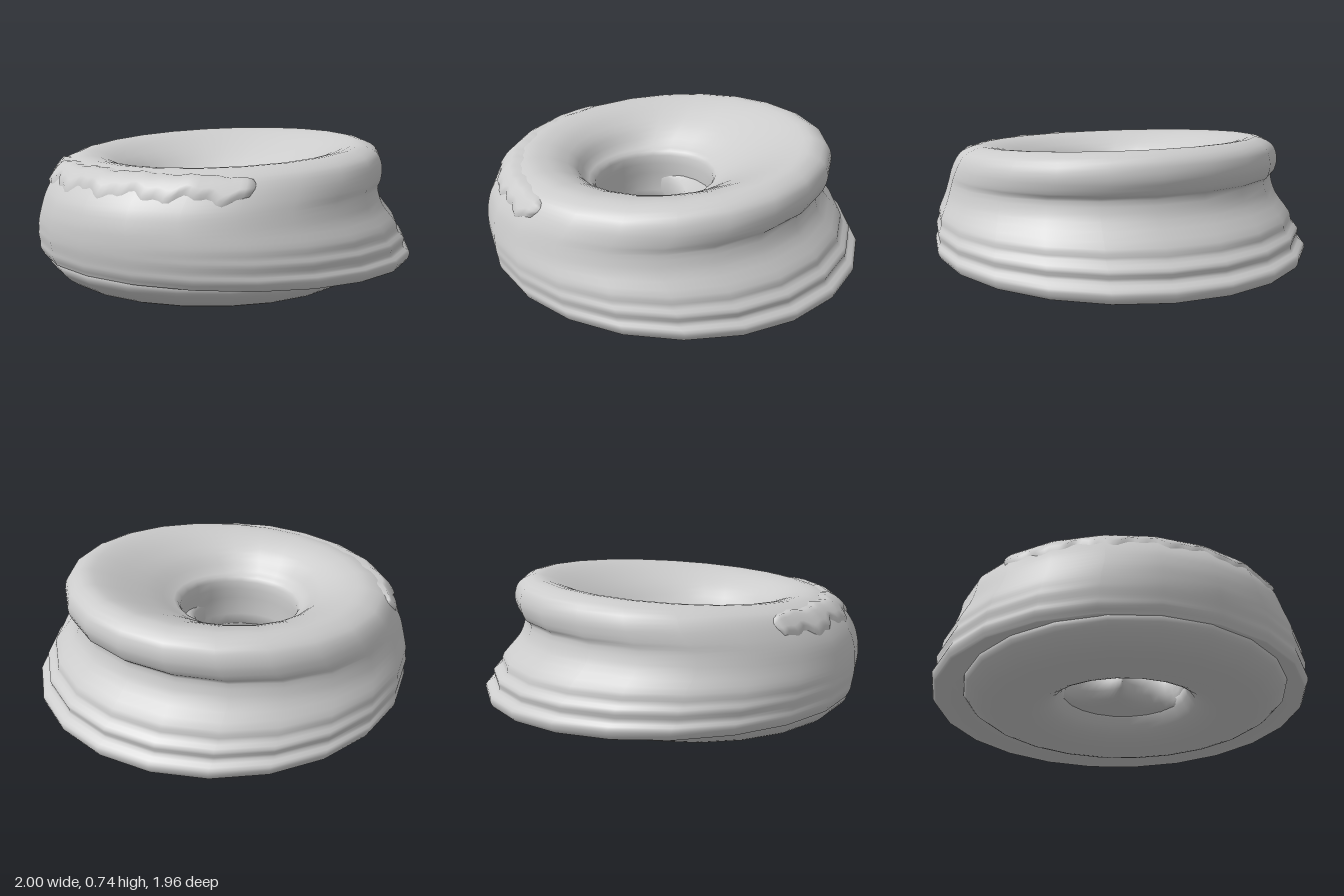
import * as THREE from 'three';

const SIDES = 22;
const material = new THREE.MeshStandardMaterial({ color: 0xcccccc, side: THREE.DoubleSide });

// Smooth grid surface from point(i, j); j wraps round when closed
function gridMesh(name, rows, cols, wrapRows, wrapCols, point) {
  const pos = [], index = [];
  for (let i = 0; i < rows; i++)
    for (let j = 0; j < cols; j++) pos.push(...point(i, j).toArray());
  for (let i = 0; i < (wrapRows ? rows : rows - 1); i++)
    for (let j = 0; j < (wrapCols ? cols : cols - 1); j++) {
      const i2 = (i + 1) % rows, j2 = (j + 1) % cols;
      const a = i * cols + j, b = i2 * cols + j, c = i2 * cols + j2, d = i * cols + j2;
      index.push(a, b, d, b, c, d);
    }
  const g = new THREE.BufferGeometry();
  g.setAttribute('position', new THREE.Float32BufferAttribute(pos, 3));
  g.setIndex(index);
  g.computeVertexNormals();
  const mesh = new THREE.Mesh(g, material);
  mesh.name = name;
  return mesh;
}

// Sampler for a ring whose profile changes from its -x side to its +x side.
// Each row is [left x, left y, right x, right y] of one tilted circle.
function ringSampler(rows) {
  const curve = (k) => new THREE.CatmullRomCurve3(
    rows.map((r) => new THREE.Vector3(r[k], r[k + 1], 0)), true, 'catmullrom', 0.45);
  const left = curve(0), right = curve(2);
  const corner = (t, j) => {
    const l = left.getPoint(t), r = right.getPoint(t);
    const a = (j / SIDES) * Math.PI * 2, c = Math.cos(a);
    const radius = (r.x - l.x) / 2;
    return new THREE.Vector3((l.x + r.x) / 2 + radius * c,
      (l.y + r.y) / 2 + ((r.y - l.y) / 2) * c, radius * Math.sin(a));
  };
  // straight between neighbouring corners
  return (t, j) => {
    const f = Math.floor(j);
    return corner(t, f).lerp(corner(t, f + 1), j - f);
  };
}

function ringMesh(name, rows, sample) {
  const n = rows.length * 3;
  return gridMesh(name, n, SIDES, true, true, (i, j) => sample(i / n, j));
}

export function createModel() {
  const group = new THREE.Group();

  // Main ring: stepped folds on one side, plain round wall on the other
  const bodyRows = [
    [-0.95, 0.155, 0.93, 0.09],
    [-0.97, 0.17, 0.985, 0.105],
    [-0.985, 0.2, 0.995, 0.155],
    [-0.99, 0.23, 0.945, 0.19],
    [-0.997, 0.27, 0.95, 0.235],
    [-1, 0.3, 0.905, 0.275],
    [-1, 0.34, 0.89, 0.325],
    [-0.995, 0.4, 0.8, 0.43],
    [-0.975, 0.47, 0.77, 0.52],
    [-0.94, 0.53, 0.8, 0.55],
    [-0.89, 0.59, 0.823, 0.62],
    [-0.84, 0.625, 0.8, 0.7],
    [-0.75, 0.65, 0.71, 0.74],
    [-0.64, 0.635, 0.58, 0.7],
    [-0.54, 0.58, 0.4, 0.61],
    [-0.48, 0.5, 0.27, 0.53],
    [-0.43, 0.45, 0.21, 0.48],
    [-0.43, 0.3, 0.21, 0.3],
    [-0.46, 0.16, 0.22, 0.14],
    [-0.8, 0.15, 0.65, 0.1],
  ];
  const body = ringSampler(bodyRows);
  group.add(ringMesh('mainRing', bodyRows, body));

  // Smaller rounded ring underneath
  const baseRows = [
    [-0.47, 0.22, 0.21, 0.2],
    [-0.48, 0.11, 0.22, 0.1],
    [-0.55, 0.045, 0.29, 0.04],
    [-0.65, 0.015, 0.39, 0.005],
    [-0.76, 0.015, 0.5, 0.005],
    [-0.86, 0.045, 0.6, 0.035],
    [-0.93, 0.095, 0.66, 0.07],
    [-0.965, 0.15, 0.69, 0.11],
    [-0.9, 0.2, 0.62, 0.18],
  ];
  group.add(ringMesh('baseRing', baseRows, ringSampler(baseRows)));

  // Thin raised strip with ragged edges along the plain shoulder
  const stripCols = 61, stripRows = 7;
  group.add(gridMesh('shoulderStrip', stripRows, stripCols, false, false, (i, j) => {
    const u = (j / (stripCols - 1)) * 2 - 1, v = i / (stripRows - 1);
    const end = Math.sqrt(Math.max(0, 1 - Math.abs(u) ** 16));
    const wobble = 0.25 * Math.sin(u * 17) + 0.18 * Math.sin(u * 41 + 1);
    const mid = 10.3 - 0.3 * u * u;
    const low = mid + (-1.25 + wobble) * end;
    const high = mid + (1.4 - 0.4 * u * u + wobble * 0.3) * end;
    const row = THREE.MathUtils.lerp(low, high, v);
    const p = body(row / bodyRows.length, SIDES / 2 + u * 3.2);
    const lift = i === 0 || i === stripRows - 1 || Math.abs(u) === 1 ? -0.01 : 0.014;
    const out = new THREE.Vector3(p.x, 0, p.z).normalize().setY(0.9).normalize();
    return p.addScaledVector(out, lift);
  }));

  // Pointed fold reaching into the hole
  const foldRows = 9, foldCols = 25;
  group.add(gridMesh('innerFold', foldRows, foldCols, false, false, (i, j) => {
    const a = (j / (foldCols - 1) - 0.5) * Math.PI, v = (i / (foldRows - 1)) * Math.PI;
    const edge = 0.03 + 0.28 * Math.sin(a) ** 2;
    const r = THREE.MathUtils.lerp(0.335, edge, Math.sin(v));
    return new THREE.Vector3(-0.11 + r * Math.cos(a), 0.25 + 0.11 * Math.cos(v), r * Math.sin(a));
  }));

  return group;
}
